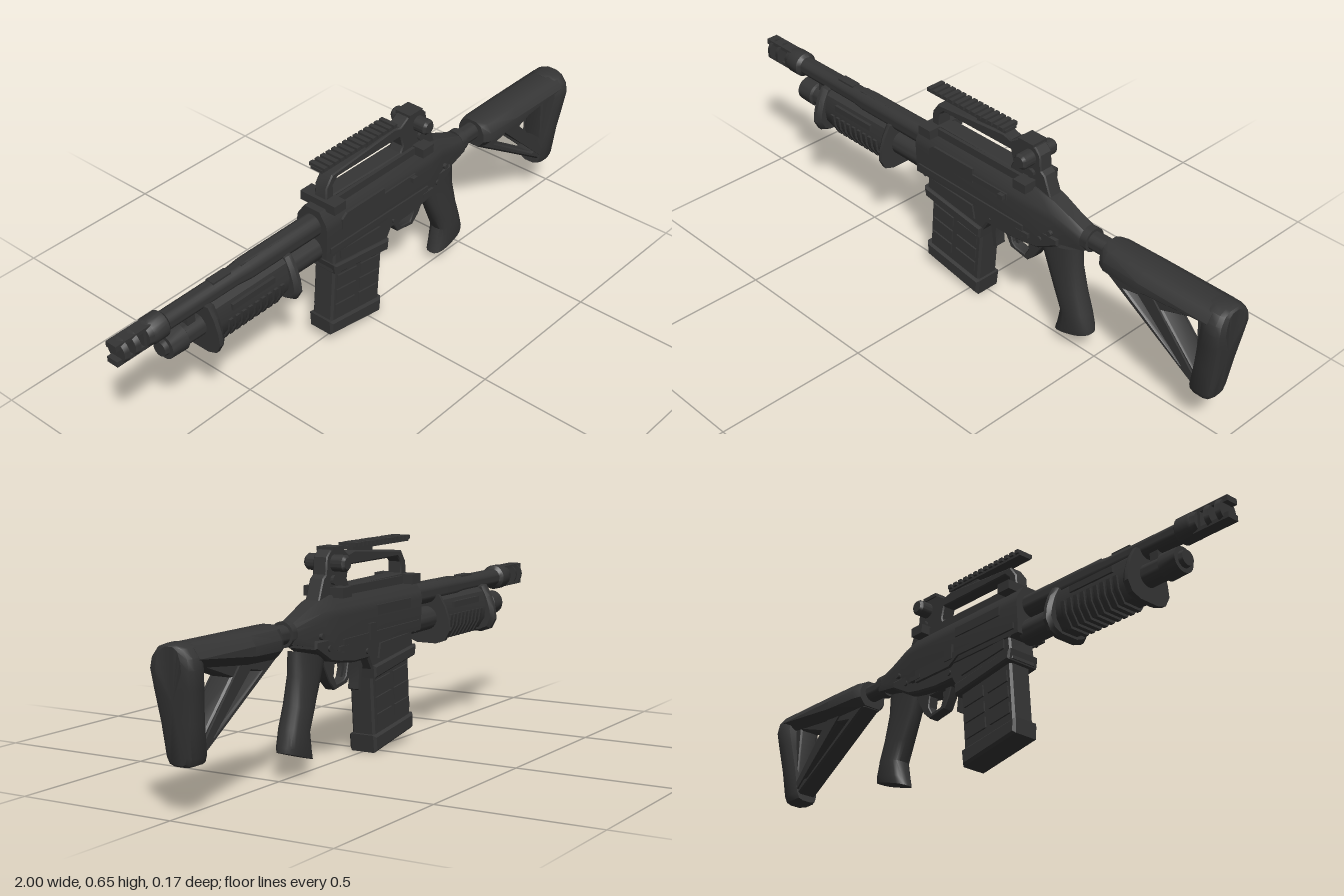
import * as THREE from 'three';
import { toCreasedNormals } from 'three/addons/utils/BufferGeometryUtils.js';

const mat = new THREE.MeshStandardMaterial({ color: 0x353535 });
mat.name = 'charcoal';

export function createModel() {
  const root = new THREE.Group();
  root.name = 'rifle';

  const add = (name, geo, x = 0, y = 0, z = 0) => {
    const m = new THREE.Mesh(toCreasedNormals(geo, 0.6), mat);
    m.name = name;
    m.position.set(x, y, z);
    root.add(m);
    return m;
  };
  const box = (name, w, h, d, x, y, z = 0) => add(name, new THREE.BoxGeometry(w, h, d), x, y, z);

  // Side outline in hundredths, extruded evenly about z = zc
  const path = (P, pts) => {
    const p = new P();
    p.setFromPoints(pts.map(([x, y]) => new THREE.Vector2(x / 100, y / 100)));
    p.closePath();
    return p;
  };
  const plate = (name, pts, half, bevel = 0, holes = [], zc = 0) => {
    const s = path(THREE.Shape, pts);
    s.holes = holes.map(h => path(THREE.Path, h));
    const g = new THREE.ExtrudeGeometry(s, {
      depth: 2 * (half - bevel), bevelEnabled: bevel > 0, bevelThickness: bevel,
      bevelSize: bevel, bevelOffset: -bevel, bevelSegments: 1, steps: 1,
    });
    return add(name, g.translate(0, 0, bevel - half), 0, 0, zc);
  };

  // Solid of revolution along x from [x, radius] pairs
  const turned = (name, pts, y, sides = 24) => {
    const v = pts.map(([x, r]) => new THREE.Vector2(r, -x)).reverse();
    const g = new THREE.LatheGeometry(v, sides);
    return add(name, g.rotateZ(Math.PI / 2), 0, y);
  };

  // Closed skin over matching rings of [x, y, z] points, outward facing
  const loft = (name, rings) => {
    const n = rings[0].length, pos = rings.flat(2), idx = [];
    for (let r = 0; r < rings.length - 1; r++) for (let i = 0; i < n; i++) {
      const a = r * n + i, b = r * n + (i + 1) % n;
      idx.push(a, b, a + n, b, b + n, a + n);
    }
    [0, rings.length - 1].forEach((r, end) => {
      const c = pos.length / 3;
      for (let k = 0; k < 3; k++) pos.push(rings[r].reduce((s, p) => s + p[k], 0) / n);
      for (let i = 0; i < n; i++) {
        const a = r * n + i, b = r * n + (i + 1) % n;
        idx.push(c, end ? a : b, end ? b : a);
      }
    });
    const V = i => new THREE.Vector3().fromArray(pos, i * 3);
    let vol = 0;
    for (let i = 0; i < idx.length; i += 3) vol += V(idx[i]).dot(V(idx[i + 1]).cross(V(idx[i + 2])));
    if (vol < 0) idx.reverse();
    const g = new THREE.BufferGeometry();
    g.setAttribute('position', new THREE.Float32BufferAttribute(pos, 3));
    g.setIndex(idx);
    return add(name, g);
  };
  // Mirrored cross-section at x from a right half of [z, y] points
  const ring = (x, half) => [...half.map(([z, y]) => [x, y, z]),
    ...half.slice().reverse().map(([z, y]) => [x, y, -z])];

  // Muzzle brake with open side windows
  const BY = 0.453;
  plate('muzzleBrake', [[-100, 41.8], [-87, 41.8], [-87, 48.8], [-100, 48.8], [-100, 47], [-98.2, 47], [-98.2, 43.6], [-100, 43.6]],
    0.02, 0, [[[-96.8, 43], [-94.2, 43], [-94.2, 47.6], [-96.8, 47.6]], [[-92.8, 43], [-90.2, 43], [-90.2, 47.6], [-92.8, 47.6]]]);
  for (const x of [-0.975, -0.935, -0.885])
    turned('brakeRing', [[x - 0.008, 0], [x - 0.008, 0.034], [x + 0.008, 0.038], [x + 0.008, 0]], BY);

  // Barrel and tube below it
  turned('barrel', [[-0.89, 0], [-0.89, 0.032], [-0.87, 0.041], [-0.825, 0.041], [-0.815, 0.03], [-0.55, 0.031], [-0.5, 0.036], [-0.2, 0.037], [-0.2, 0]], BY);
  turned('magazineTube', [[-0.835, 0], [-0.835, 0.024], [-0.82, 0.026], [-0.82, 0.04], [-0.76, 0.042], [-0.755, 0.034], [-0.2, 0.04], [-0.2, 0]], 0.368);
  box('barrelBand', 0.03, 0.08, 0.03, -0.725, 0.41);
  for (let i = 0; i < 4; i++) box('barrelVent', 0.07, 0.01, 0.03, -0.6 + i * 0.11, 0.481);

  // Sliding fore grip with ribs and end flanges
  const foreHalf = s => [[0.03 * s, 0.365 - 0.063 * s], [0.052 * s, 0.335], [0.057 * s, 0.375], [0.045 * s, 0.425], [0.025, 0.44]];
  loft('foreGrip', [-0.685, -0.355].map(x => ring(x, foreHalf(1))));
  for (let i = 0; i < 9; i++)
    loft('foreGripRib', [0, 0.014].map(d => ring(-0.625 + i * 0.026 + d, foreHalf(1.13).slice(0, 3))));
  const flange = [[0.035, 0.286], [0.068, 0.298], [0.085, 0.33], [0.08, 0.37], [0.066, 0.41], [0.045, 0.445]];
  const flangeIn = flange.map(([z, y]) => [z * 0.88, y + (y < 0.35 ? 0.008 : -0.005)]);
  for (const [a, b] of [[-0.688, -0.66], [-0.352, -0.375]])
    loft('foreGripFlange', [ring(a, flange), ring((a + b) / 2, flange), ring(b, flangeIn)]);
  for (const s of [1, -1]) box('foreGripSlot', 0.17, 0.02, 0.01, -0.52, 0.405, s * 0.054);

  // Receiver
  const body = [[0.056, 0.35], [0.06, 0.45], [0.056, 0.472], [0.03, 0.51]];
  loft('upperReceiver', [ring(-0.215, body), ring(0.27, body),
    ring(0.34, [[0.046, 0.365], [0.047, 0.44], [0.044, 0.465], [0.025, 0.495]]),
    ring(0.47, [[0.033, 0.39], [0.036, 0.42], [0.03, 0.432], [0.018, 0.442]])]);
  plate('lowerReceiver', [[-17, 37], [-18, 28], [6, 25], [9, 30], [17, 30], [25, 31], [30, 32], [38, 36.5], [38, 39], [-17, 39]], 0.05, 0.006);
  plate('magazineWell', [[-18.2, 31], [7, 27.5], [6.5, 23.5], [-17.6, 27.5]], 0.06, 0.006);
  for (const s of [1, -1]) {
    plate('sideRail', [[-20, 36.5], [5, 36.5], [9, 34], [25, 34], [25, 38], [-20, 38.5]], 0.005, 0, [], s * 0.058);
    plate('wellPanel', [[-15, 35], [3, 34], [4, 29.5], [-15, 32]], 0.004, 0, [], s * 0.052);
    for (const [x, y] of [[-0.18, 0.355], [0.1, 0.325], [0.31, 0.36], [0.35, 0.4]])
      add('pin', new THREE.CylinderGeometry(0.009, 0.009, 0.012, 12).rotateX(Math.PI / 2), x, y, s * 0.05);
    box('selectorLever', 0.05, 0.014, 0.014, 0.25, 0.355, s * 0.058);
  }
  // Ejection port cover and bolt on one side, bolt catch on the other
  plate('ejectionPortCover', [[-15, 43], [4, 43], [4, 48], [-13, 48], [-15, 46.5]], 0.004, 0, [], 0.06);
  box('bolt', 0.17, 0.02, 0.012, 0.1, 0.45, 0.058);
  box('boltHandle', 0.02, 0.016, 0.03, 0.17, 0.45, 0.062);
  box('boltCatch', 0.035, 0.05, 0.014, 0.09, 0.385, -0.06);
  box('leftPanel', 0.2, 0.03, 0.008, -0.04, 0.445, -0.06);
  turned('receiverEndRing', [[0.455, 0], [0.455, 0.038], [0.48, 0.038], [0.48, 0]], 0.418);
  turned('bufferTube', [[0.47, 0], [0.47, 0.029], [0.56, 0.029], [0.56, 0]], 0.418);

  // Carry handle, top rail and rear sight
  plate('carryHandle', [[-18, 50], [-17.5, 57], [-15, 60.5], [13, 62.8], [16, 62], [19, 64], [26, 64], [28, 62], [28.5, 57], [30, 56], [32.5, 49.5]],
    0.024, 0.004, [[[-14.5, 53.5], [16, 53], [17, 55], [16, 58.8], [-12.5, 58.8], [-14.5, 57]]]);
  box('handleBase', 0.44, 0.025, 0.07, 0.04, 0.515);
  box('topRail', 0.33, 0.01, 0.045, -0.028, 0.636);
  for (let i = 0; i < 14; i++) box('railTooth', 0.015, 0.012, 0.06, -0.183 + i * 0.0238, 0.644);
  box('railPost', 0.1, 0.03, 0.03, 0.06, 0.625);
  for (const x of [-0.165, 0.24]) box('crossBlock', 0.05, 0.03, 0.136, x, 0.517);
  const drum = [[0, 0.07], [0.018, 0.07], [0.025, 0.062], [0.025, -0.062], [0.018, -0.07], [0, -0.07]].reverse();
  add('sightDrum', new THREE.LatheGeometry(drum.map(p => new THREE.Vector2(...p)), 16).rotateX(Math.PI / 2), 0.24, 0.601);
  add('sightPin', new THREE.CylinderGeometry(0.014, 0.014, 0.068, 12).rotateX(Math.PI / 2), 0.25, 0.552);
  box('sightCap', 0.06, 0.012, 0.058, 0.225, 0.642);

  // Box magazine with raised panels
  plate('magazine', [[-16.3, 30], [6, 27], [4, 3], [-18, 6]], 0.04, 0.007);
  plate('magazineBase', [[-18.8, 9], [5, 5.5], [4.3, 0], [-18.6, 4]], 0.048, 0.008);
  for (const s of [1, -1]) for (let r = 0; r < 3; r++) for (let c = 0; c < 2; c++) {
    const x = -15.4 + c * 10.5 - r * 0.5, y = 21.5 - r * 5.3 - c * 1.4;
    plate('magazinePanel', [[x, y], [x + 8.6, y - 1.15], [x + 8.9, y + 2.4], [x + 0.3, y + 3.6]], 0.0045, 0, [], s * 0.041);
  }

  // Trigger group
  plate('triggerGuard', [[12, 32], [14, 27], [16, 23.5], [23, 22.3], [26, 25], [30, 32]], 0.018, 0.003,
    [[[15.6, 30], [16.8, 25.6], [18, 24.6], [22, 24], [23.5, 26.5], [23, 30]]]);
  plate('trigger', [[16, 31], [18, 31], [17.6, 28], [18.5, 25.5], [17.4, 25.3], [16.2, 28]], 0.008);
  plate('magazineRelease', [[7, 30], [10, 30], [9.5, 25], [10, 20.5], [8.8, 20], [8, 25]], 0.018);

  // Pistol grip: rounded rings between a front and a back point
  loft('pistolGrip', [[28, 33, 43, 36.5, 0.034], [30.5, 27, 43.3, 29.5, 0.033], [34.5, 18.5, 45, 21, 0.037],
    [37.3, 12.5, 47, 14.5, 0.039], [36, 7, 48.6, 9.5, 0.038], [35, 3.8, 48.8, 8, 0.035]].map(([ax, ay, bx, by, w]) =>
    Array.from({ length: 20 }, (_, i) => {
      const a = i / 20 * Math.PI * 2, e = v => Math.sign(v) * Math.abs(v) ** 0.75;
      const t = (1 + e(Math.cos(a))) / 2;
      return [(ax + (bx - ax) * t) / 100, (ay + (by - ay) * t) / 100, w * e(Math.sin(a))];
    })));

  // Shoulder stock: upper shell, open frame and curved pad
  const shell = (x, w, yb) => ring(x, [[w * 0.6, yb], [w, yb + 0.025], [w, 0.42], [w * 0.72, 0.447], [w * 0.35, 0.457]]);
  loft('stockShell', [shell(0.545, 0.05, 0.368), shell(0.57, 0.062, 0.365), shell(0.7, 0.066, 0.368), shell(0.95, 0.068, 0.395)]);
  plate('stockFrame', [[55, 36.5], [92, 13.5], [95.5, 13.8], [97, 41], [55, 41]], 0.034, 0.006,
    [[[77, 34.3], [89, 38.5], [90, 20.5]], [[63, 34], [69.5, 35], [87, 20], [85, 20]]]);
  for (const s of [1, -1])
    plate('stockBrace', [[66, 38], [74, 37], [92, 17], [92, 14.5], [88, 18]], 0.004, 0, [], s * 0.036);
  const pad = [[0.02, 0.13], [0.038, 0.136], [0.046, 0.155], [0.052, 0.25], [0.064, 0.34], [0.07, 0.395], [0.064, 0.425], [0.045, 0.45], [0.02, 0.46]];
  const padRing = (x, s) => ring(0, pad.map(([z, y]) => [z * s, 0.3 + (y - 0.3) * (0.9 + 0.1 * s)]))
    .map(([, y, z]) => [x - 0.04 * Math.max(0, (0.4 - y) / 0.27) - 0.006 * Math.max(0, (y - 0.4) / 0.06), y, z]);
  loft('buttPad', [padRing(0.925, 0.85), padRing(0.945, 1), padRing(0.978, 1), padRing(0.992, 0.88), padRing(0.998, 0.6)]);

  return root;
}
